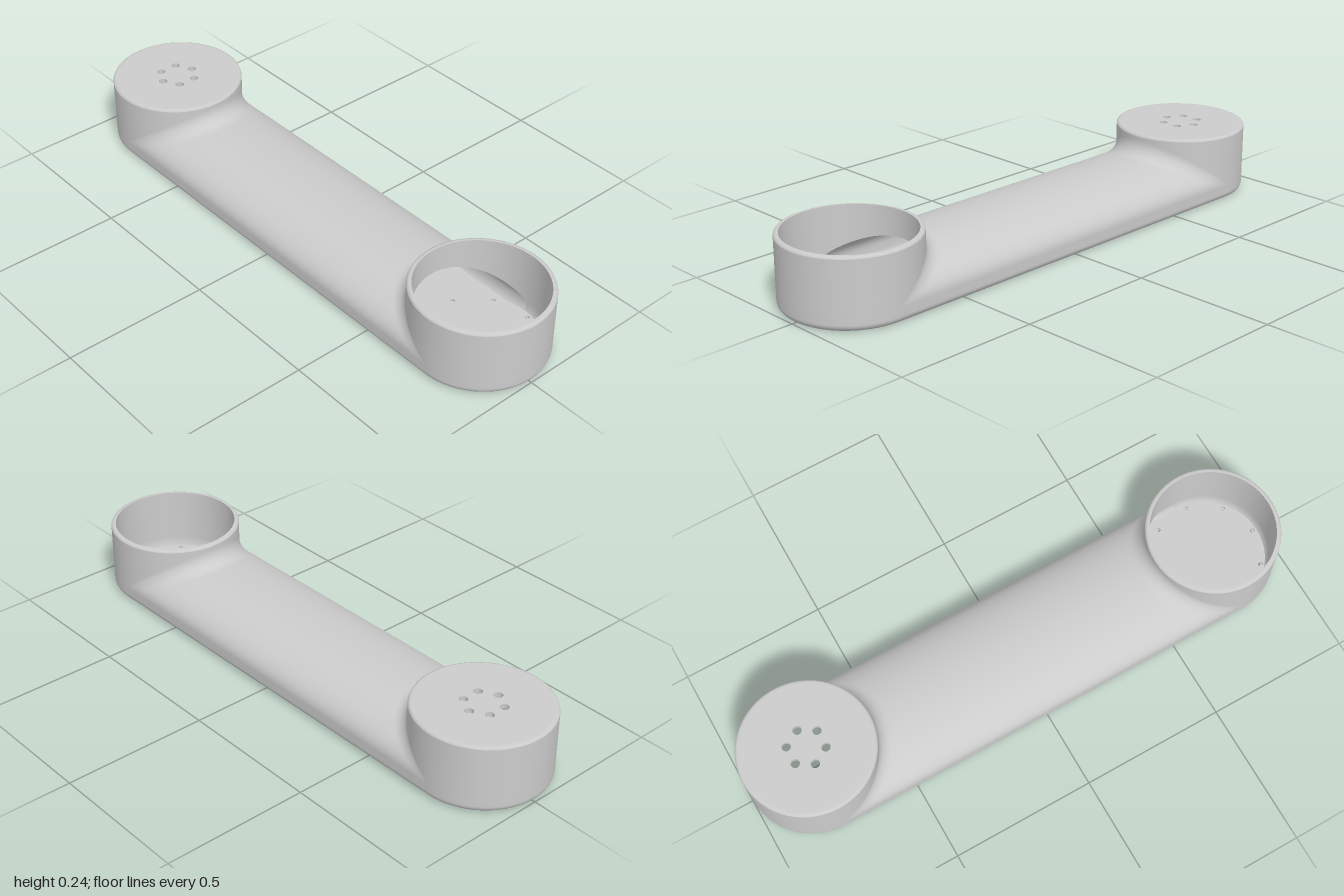
import * as THREE from 'three';

const CX = 0.77;      // distance of each cup axis from the middle
const R = 0.23;       // outer radius of cups and half width of handle
const WALL = 0.016;   // shell thickness
const TOP = 0.242;    // overall height
const BASE = 0.055;   // height where the handle arch begins
const HOLE_R = 0.19;  // openings in the underside

const material = new THREE.MeshStandardMaterial({ color: 0xcccccc, side: THREE.DoubleSide });

// Surface from a rule f(u, v) -> [x, y, z] with u, v in 0..1
function surface(nu, nv, f) {
  const pos = [], index = [];
  for (let i = 0; i <= nu; i++) {
    for (let j = 0; j <= nv; j++) {
      pos.push(...f(i / nu, j / nv));
      if (i < nu && j < nv) {
        const a = i * (nv + 1) + j, b = a + nv + 1;
        index.push(a, b, a + 1, b, b + 1, a + 1);
      }
    }
  }
  const g = new THREE.BufferGeometry();
  g.setAttribute('position', new THREE.Float32BufferAttribute(pos, 3));
  g.setIndex(index);
  g.computeVertexNormals();
  return g;
}

// Circular hole path
function circle(x, y, r) {
  return new THREE.Path().absarc(x, y, r, 0, Math.PI * 2, true);
}

// Flat horizontal plate from a shape (shape y becomes z), lying on height y
function plate(shape, y, depth) {
  const g = new THREE.ExtrudeGeometry(shape, { depth, bevelEnabled: false, curveSegments: 48 });
  return g.rotateX(Math.PI / 2).translate(0, y + depth, 0);
}

function discWithHoles(radius, count, ringR, holeR, start) {
  const s = new THREE.Shape().absarc(0, 0, radius, 0, Math.PI * 2, false);
  for (let i = 0; i < count; i++) {
    const a = start + (i / count) * Math.PI * 2;
    s.holes.push(circle(ringR * Math.cos(a), ringR * Math.sin(a), holeR));
  }
  return s;
}

// Arched handle; it ends exactly on the cup walls, with a fading fillet there
function handleSurface(r, amp, fillet) {
  return surface(48, 72, (u, v) => {
    const a = u * Math.PI, s = Math.sin(a), z = r * Math.cos(a);
    const x = (CX - r * s) * Math.sin((v - 0.5) * Math.PI);
    const d = Math.max(0, Math.hypot(Math.abs(x) - CX, z) - r);
    const f = fillet * s;
    const lift = d < f ? f - Math.sqrt(f * f - (f - d) ** 2) : 0;
    return [x, BASE + amp * s + lift, z];
  });
}

// Cup wall whose lower edge follows the handle arch on the inward side
function cupWall(side, r, amp, fillet, top) {
  return surface(96, 4, (u, v) => {
    const a = u * Math.PI * 2;
    const inward = Math.max(0, -Math.cos(a));
    const low = BASE + (amp + fillet) * inward;
    return [side * (CX + r * Math.cos(a)), low + (top - low) * v, r * Math.sin(a)];
  });
}

// Skirt around the whole long outline; profile holds [inset, y]
function skirt(r, profile) {
  const n = 48;
  return surface(2 * n + 2, profile.length - 1, (u, v) => {
    const k = Math.round(u * (2 * n + 2)) % (2 * n + 2);
    const [inset, y] = profile[Math.round(v * (profile.length - 1))];
    const second = k > n;
    const a = -Math.PI / 2 + ((second ? k - 1 : k) / n) * Math.PI;
    const rr = r - inset;
    return [(second ? -CX : CX) + rr * Math.cos(a), y, rr * Math.sin(a)];
  });
}

export function createModel() {
  const model = new THREE.Group();
  const add = (name, geometry, parent = model) => {
    const m = new THREE.Mesh(geometry, material);
    m.name = name;
    parent.add(m);
    return m;
  };

  // Handle: outer and inner skins of the hollow grip
  const ri = R - WALL;
  add('handleOuter', handleSurface(R, 0.11, 0.055));
  add('handleInner', handleSurface(ri, 0.094, 0));

  // Lower skirt with a rounded bottom edge
  const round = [[0, BASE]];
  for (let i = 0; i <= 8; i++) {
    const a = (i / 8) * Math.PI / 2;
    round.push([0.025 * (1 - Math.cos(a)), 0.025 * (1 - Math.sin(a))]);
  }
  add('skirtOuter', skirt(R, round));
  add('skirtInner', skirt(ri, [[0, BASE], [0, 0.025], [0.012, 0.012]]));

  // Underside with an opening below each cup and a small slot
  const rb = R - 0.025;
  const base = new THREE.Shape();
  base.absarc(CX, 0, rb, -Math.PI / 2, Math.PI / 2, false);
  base.absarc(-CX, 0, rb, Math.PI / 2, Math.PI * 1.5, false);
  base.closePath();
  base.holes.push(circle(CX, 0, HOLE_R), circle(-CX, 0, HOLE_R));
  const slot = new THREE.Path();
  slot.moveTo(0.26, -0.175).lineTo(0.26, -0.145).lineTo(0.335, -0.145).lineTo(0.335, -0.175).closePath();
  base.holes.push(slot);
  add('underside', plate(base, 0, WALL));

  // Cups: walls, rounded rims and locking lugs in the lower openings
  for (const side of [-1, 1]) {
    const cup = new THREE.Group();
    cup.name = side > 0 ? 'leftCup' : 'rightCup';
    model.add(cup);
    add('cupWallOuter', cupWall(side, R, 0.11, 0.055, TOP - 0.008), cup);
    add('cupWallInner', cupWall(side, ri, 0.094, 0, side > 0 ? TOP : TOP - WALL), cup);
    const rim = [[R, TOP - 0.008], [R - 0.0023, TOP - 0.0023], [R - 0.008, TOP], [ri, TOP]]
      .map(([x, y]) => new THREE.Vector2(x, y));
    add('rim', new THREE.LatheGeometry(rim, 96).translate(side * CX, 0, 0), cup);
    for (let i = 0; i < 3; i++) {
      const a = THREE.MathUtils.degToRad(70 + i * 120);
      const lug = add('lug', new THREE.BoxGeometry(0.025, 0.01, 0.045), cup);
      lug.position.set(side * CX + 0.182 * Math.cos(a), 0.011, 0.182 * Math.sin(a));
      lug.rotation.y = -a;
    }
  }

  // Perforated cap closing the right cup
  add('perforatedCap', plate(discWithHoles(R - 0.008, 6, 0.064, 0.015, Math.PI / 6), TOP - WALL, WALL))
    .position.x = -CX;

  // Floor of the open left cup with its ring of small holes
  add('cupFloor', plate(discWithHoles(0.205, 9, 0.19, 0.008, 0), WALL, 0.008))
    .position.x = CX;

  return model;
}
